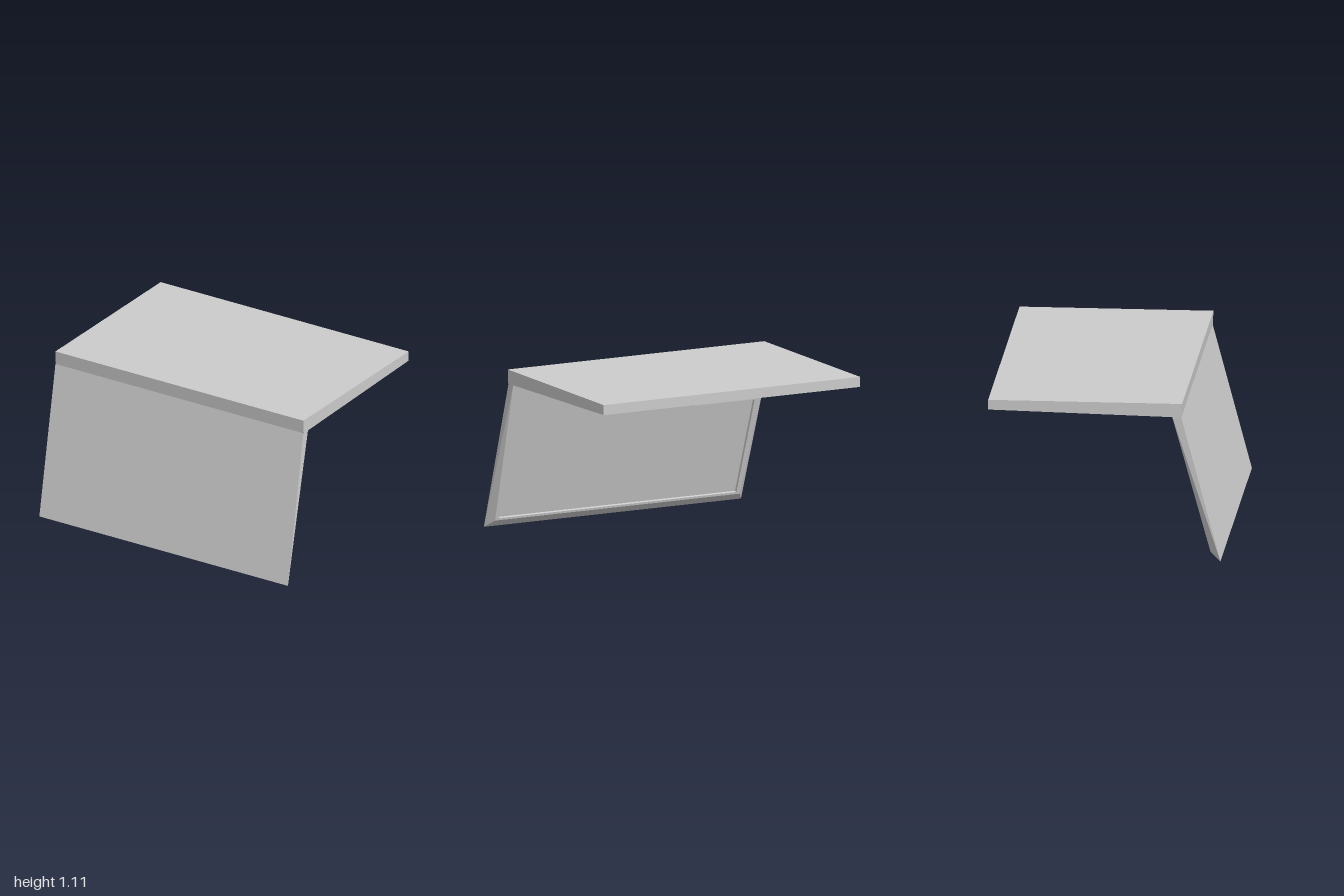
import * as THREE from 'three';

const material = new THREE.MeshStandardMaterial({ color: 0xcccccc, flatShading: true });
const vec = (x, y, z) => new THREE.Vector3(x, y, z);

// Builds a mesh from four-cornered faces, each split along its first-to-third corner
function quadMesh(name, quads) {
  const points = quads.flatMap(([a, b, c, d]) => [a, b, c, a, c, d]);
  const geometry = new THREE.BufferGeometry().setFromPoints(points);
  geometry.computeVertexNormals();
  const mesh = new THREE.Mesh(geometry, material);
  mesh.name = name;
  return mesh;
}

// Four faces joining two loops of four corners
const band = (a, b) => a.map((p, k) => [p, b[k], b[(k + 1) % 4], a[(k + 1) % 4]]);

// Height of the sloping underside of the base
const underside = (z) => 1.012 - (z - 0.5) * 0.006;

// Keyboard half: a slab that thins slightly towards the back
function createBase() {
  const loop = (yFront, zFront, yBack) => [
    vec(-0.995, yFront, zFront), vec(0.96, yFront, zFront),
    vec(0.96, yBack, -0.775), vec(-0.995, yBack, -0.775),
  ];
  const top = loop(1.105, 0.52, 1.088);
  const bottom = loop(1.01, 0.515, 1.02);
  return quadMesh('base', [top, [...bottom].reverse(), ...band(top, bottom)]);
}

// Screen half: tapered panel with a recessed display on its inner face
function createLid() {
  const outer = [vec(-0.96, 0, 0.772), vec(1, 0, 0.772), vec(0.957, 1.01, 0.515), vec(-0.998, 1.01, 0.515)];
  const inner = [vec(-0.91, 0.05, 0.7), vec(0.955, 0.05, 0.7), vec(0.955, 1.01, 0.455), vec(-0.998, 1.01, 0.455)];
  const onInner = (u, v) => inner[0].clone().lerp(inner[1], u)
    .lerp(inner[3].clone().lerp(inner[2], u), v);
  const rim = [onInner(0.015, 0.015), onInner(0.985, 0.015), onInner(0.975, 0.95), onInner(0.025, 0.95)];
  const floor = rim.map((p) => p.clone().add(vec(0, 0.005, 0.02)));
  const [o0, o1, o2, o3] = outer;
  const [i0, i1, i2, i3] = inner;
  const lid = new THREE.Group();
  lid.name = 'lid';
  lid.add(
    quadMesh('lidShell', [
      outer,
      [o1, i1, i2, o2],
      [o0, o3, i3, i0],
      [o0, i0, i1, o1],
      [o3, o2, i2, i3],
    ]),
    quadMesh('screenFrame', [...band(inner, rim), ...band(rim, floor)]),
    quadMesh('display', [[...floor].reverse()]),
  );
  return lid;
}

// Raised pad under the base, narrower at its exposed face
function createPad(name, x0, x1, z0, z1, height, bevel) {
  const depth = height + 0.008;
  const geometry = new THREE.BoxGeometry(x1 - x0, depth, z1 - z0);
  const p = geometry.attributes.position;
  for (let i = 0; i < p.count; i++) {
    if (p.getY(i) > 0) continue;
    p.setX(i, p.getX(i) - Math.sign(p.getX(i)) * bevel);
    p.setZ(i, p.getZ(i) - Math.sign(p.getZ(i)) * bevel);
  }
  geometry.computeVertexNormals();
  const mesh = new THREE.Mesh(geometry, material);
  const z = (z0 + z1) / 2;
  mesh.position.set((x0 + x1) / 2, underside(z) - height + depth / 2, z);
  mesh.name = name;
  return mesh;
}

// Four rows of nine keys, then the space bar
function createKeyboard() {
  const keyboard = new THREE.Group();
  keyboard.name = 'keyboard';
  const rows = [
    { z0: 0.21, z1: 0.285, start: -0.77 },
    { z0: 0.04, z1: 0.185, start: -0.78 },
    { z0: -0.125, z1: 0.015, start: -0.77 },
    { z0: -0.3, z1: -0.155, start: -0.77 },
  ];
  const pitch = 0.172;
  for (const { z0, z1, start } of rows) {
    for (let i = 0; i < 9; i++) {
      const x = start + i * pitch;
      keyboard.add(createPad('key', x, x + 0.145, z0, z1, 0.022, 0.005));
    }
  }
  keyboard.add(createPad('spaceBar', -0.36, 0.45, -0.43, -0.32, 0.015, 0.004));
  return keyboard;
}

export function createModel() {
  const model = new THREE.Group();
  model.name = 'laptop';
  model.add(
    createBase(),
    createLid(),
    createKeyboard(),
    createPad('touchpad', -0.23, 0.25, -0.73, -0.455, 0.015, 0.003),
  );
  return model;
}
